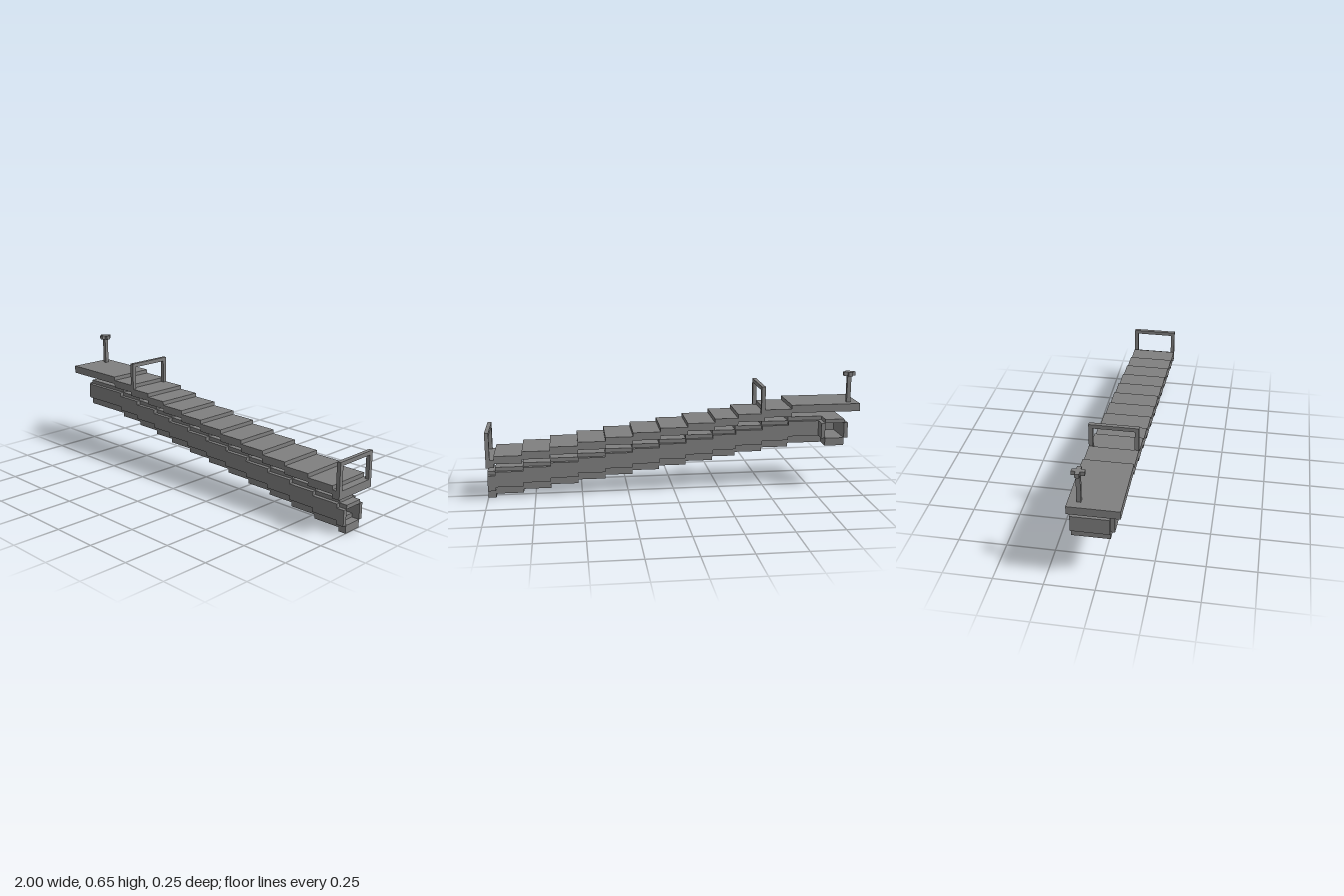
import * as THREE from 'three';

const U = 1 / 48; // all sizes below are in this grid unit

export function createModel() {
  const group = new THREE.Group();
  const grey = new THREE.MeshStandardMaterial({ color: 0x808080 });
  grey.name = 'steel grey';

  // box given by its min and max corners
  function box(name, x0, x1, y0, y1, z0, z1, parent = group) {
    const mesh = new THREE.Mesh(new THREE.BoxGeometry((x1 - x0) * U, (y1 - y0) * U, (z1 - z0) * U), grey);
    mesh.position.set((x0 + x1) / 2 * U, (y0 + y1) / 2 * U, (z0 + z1) / 2 * U);
    mesh.name = name;
    parent.add(mesh);
  }

  // stepped walkway above a stepped hollow duct
  const edges = [-48, -30, -23, -16, -10, -3, 4, 11, 18, 25, 32, 39, 46, 48];
  for (let i = 0; i < 13; i++) {
    const y = 12 - i;
    const a = edges[i], b = edges[i + 1];
    const start = i === 0 ? -44 : a;
    box('deckStep', a, b, y + 9, y + 11, -6, 6);
    box('ductFloor', start, b, y, y + 2, -2, 3);
    box('ductCeiling', start, b, y + 6, y + 7, -2, 3);
    box('ductFrontWall', start, b, y + 2, y + 6, 3, 4);
    box('ductBackWall', i === 0 ? -39 : a, b, y + 2, y + 6, -3, -2);
  }

  // side outlet at the high end, opening to the back
  const outlet = new THREE.Group();
  outlet.name = 'sideOutlet';
  group.add(outlet);
  box('outletFloor', -44, -39, 12, 14, -6, -2, outlet);
  box('outletCeiling', -44, -39, 18, 19, -6, -2, outlet);
  box('outletEndWall', -45, -44, 14, 18, -6, 3, outlet);
  box('outletInnerWall', -39, -38, 14, 18, -6, -3, outlet);

  // open rectangular frames across the deck
  function gate(x, y) {
    const frame = new THREE.Group();
    frame.name = 'gateFrame';
    group.add(frame);
    for (const z of [-6, 5]) box('gatePost', x, x + 1, y, y + 6, z, z + 1, frame);
    box('gateBar', x, x + 1, y + 6, y + 7, -6, 6, frame);
  }
  gate(-23, 21);
  gate(47, 11);

  // post with a cross-shaped valve handle
  box('valvePost', -46, -45, 23, 31, -4, -3);
  box('handleBar', -47, -44, 30, 31, -4, -3);
  box('handleArm', -46, -45, 30, 31, -5, -4);
  box('handleArm', -46, -45, 30, 31, -3, -2);

  return group;
}
